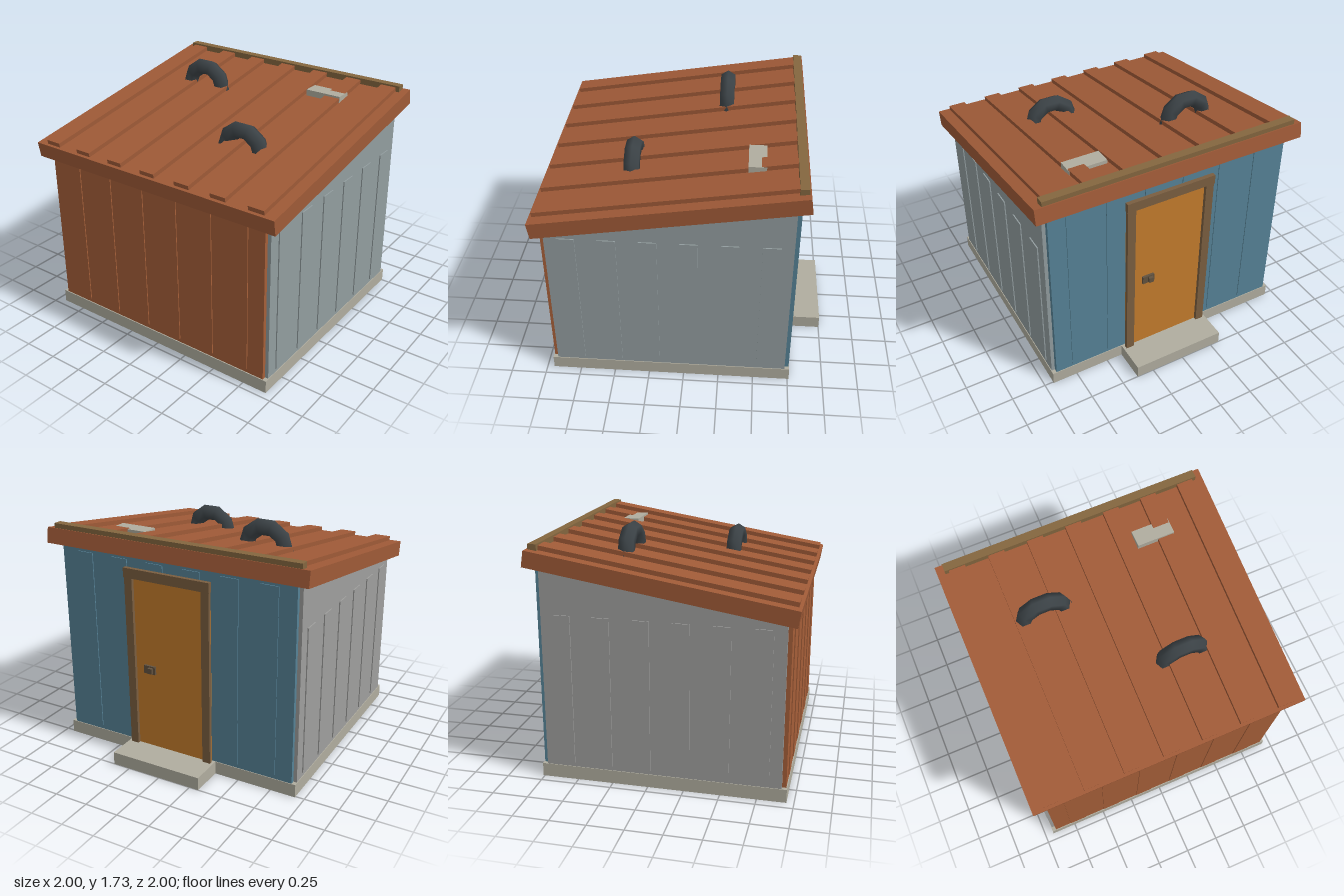
import * as THREE from 'three';

const mat = (color) => new THREE.MeshStandardMaterial({ color });
const M = {
  concrete: mat(0xb0ad9f), rust: mat(0xa65f39), roof: mat(0x9f5a37), blue: mat(0x568296),
  greyBlue: mat(0x929d9f), grey: mat(0x9f9f9d), door: mat(0xc47c2c), frame: mat(0x7a5e40),
  beam: mat(0x84663f), handle: mat(0x62523f), vent: mat(0x3c4347),
};

// Box given by its minimum and maximum on each axis
function box(parent, name, material, [x0, x1], [y0, y1], [z0, z1]) {
  const mesh = new THREE.Mesh(new THREE.BoxGeometry(x1 - x0, y1 - y0, z1 - z0), material);
  mesh.position.set((x0 + x1) / 2, (y0 + y1) / 2, (z0 + z1) / 2);
  mesh.name = name;
  parent.add(mesh);
  return mesh;
}

const SLOPE = 0.161;
const underside = (z) => 1.235 + SLOPE * (0.985 - z);

// Side wall cut to the roof slope, with equal ribs
function sideWall(parent, name, material, side) {
  const group = new THREE.Group();
  group.name = name;
  const shape = new THREE.Shape([
    new THREE.Vector2(-0.915, 0.095), new THREE.Vector2(0.725, 0.095),
    new THREE.Vector2(0.725, underside(-0.725)), new THREE.Vector2(-0.915, underside(0.915)),
  ]);
  const panel = new THREE.Mesh(
    new THREE.ExtrudeGeometry(shape, { depth: 0.025, bevelEnabled: false }), material);
  panel.name = 'sidePanel';
  panel.rotation.y = Math.PI / 2;
  panel.position.x = side > 0 ? 0.905 : -0.93;
  group.add(panel);
  for (let i = 0; i < 6; i++) {
    const z = 0.77 - i * 0.27;
    const xs = side > 0 ? [0.92, 0.938] : [-0.938, -0.92];
    box(group, 'sideRib', material, xs, [0.125, 1.19], [z - 0.06, z + 0.06]);
  }
  parent.add(group);
}

// Front or back wall with upright ribs
function endWall(parent, name, material, zIn, zOut, top) {
  const group = new THREE.Group();
  group.name = name;
  const dir = Math.sign(zOut);
  const span = (a, b) => [Math.min(a, b), Math.max(a, b)];
  box(group, 'endPanel', material, [-0.905, 0.905], [0.095, top], span(zIn, zOut));
  for (let i = 0; i < 6; i++) {
    const x = (i - 2.5) * 0.286;
    box(group, 'endRib', material, [x - 0.065, x + 0.065], [0.125, top - 0.03],
      span(zOut - dir * 0.01, zOut + dir * 0.007));
  }
  parent.add(group);
}

export function createModel() {
  const model = new THREE.Group();
  model.name = 'shed';

  // Foundation and doorstep
  box(model, 'foundation', M.concrete, [-0.935, 0.935], [0, 0.095], [-0.76, 0.95]);
  box(model, 'doorstep', M.concrete, [-0.32, 0.38], [0, 0.095], [-1, -0.76]);

  // Walls
  endWall(model, 'frontWall', M.rust, 0.915, 0.943, 1.245);
  endWall(model, 'backWall', M.blue, -0.725, -0.755, 1.51);
  sideWall(model, 'leftWall', M.greyBlue, 1);
  sideWall(model, 'rightWall', M.grey, -1);

  // Door, frame and handle on the back
  const door = new THREE.Group();
  door.name = 'doorway';
  box(door, 'door', M.door, [-0.29, 0.35], [0.095, 1.365], [-0.778, -0.75]);
  for (const x of [-0.3, 0.3])
    box(door, 'doorJamb', M.frame, [x, x + 0.06], [0.095, 1.365], [-0.802, -0.776]);
  box(door, 'doorLintel', M.frame, [-0.305, 0.365], [1.365, 1.435], [-0.805, -0.775]);
  box(door, 'handlePlate', M.handle, [0.14, 0.23], [0.675, 0.735], [-0.795, -0.775]);
  box(door, 'handle', M.handle, [0.155, 0.19], [0.685, 0.725], [-0.815, -0.79]);
  model.add(door);

  // Sloped roof with battens
  const roof = new THREE.Group();
  roof.name = 'roof';
  roof.position.set(0, 1.43, 0.0925);
  roof.rotation.x = Math.atan(SLOPE);
  box(roof, 'roofSlab', M.roof, [-1, 1], [-0.056, 0.056], [-0.9075, 0.9075]);
  for (let i = -3; i <= 3; i++) {
    const x = i * 0.286;
    box(roof, 'roofBatten', M.roof, [x - 0.059, x + 0.059], [0.05, 0.087], [-0.895, 0.885]);
  }
  model.add(roof);

  // Beam along the high edge and a small roof hatch
  box(model, 'ridgeBeam', M.beam, [-0.945, 0.945], [1.61, 1.662], [-0.785, -0.725]);
  box(model, 'roofHatch', M.concrete, [0.36, 0.635], [1.53, 1.612], [-0.525, -0.405]);

  // Curved vent pipes
  for (const [x, y, z] of [[-0.425, 1.535, -0.23], [0.345, 1.4, 0.38]]) {
    const vent = new THREE.Mesh(new THREE.TorusGeometry(0.15, 0.06, 6, 5, Math.PI), M.vent);
    vent.name = 'ventPipe';
    vent.position.set(x, y, z);
    model.add(vent);
  }
  return model;
}
